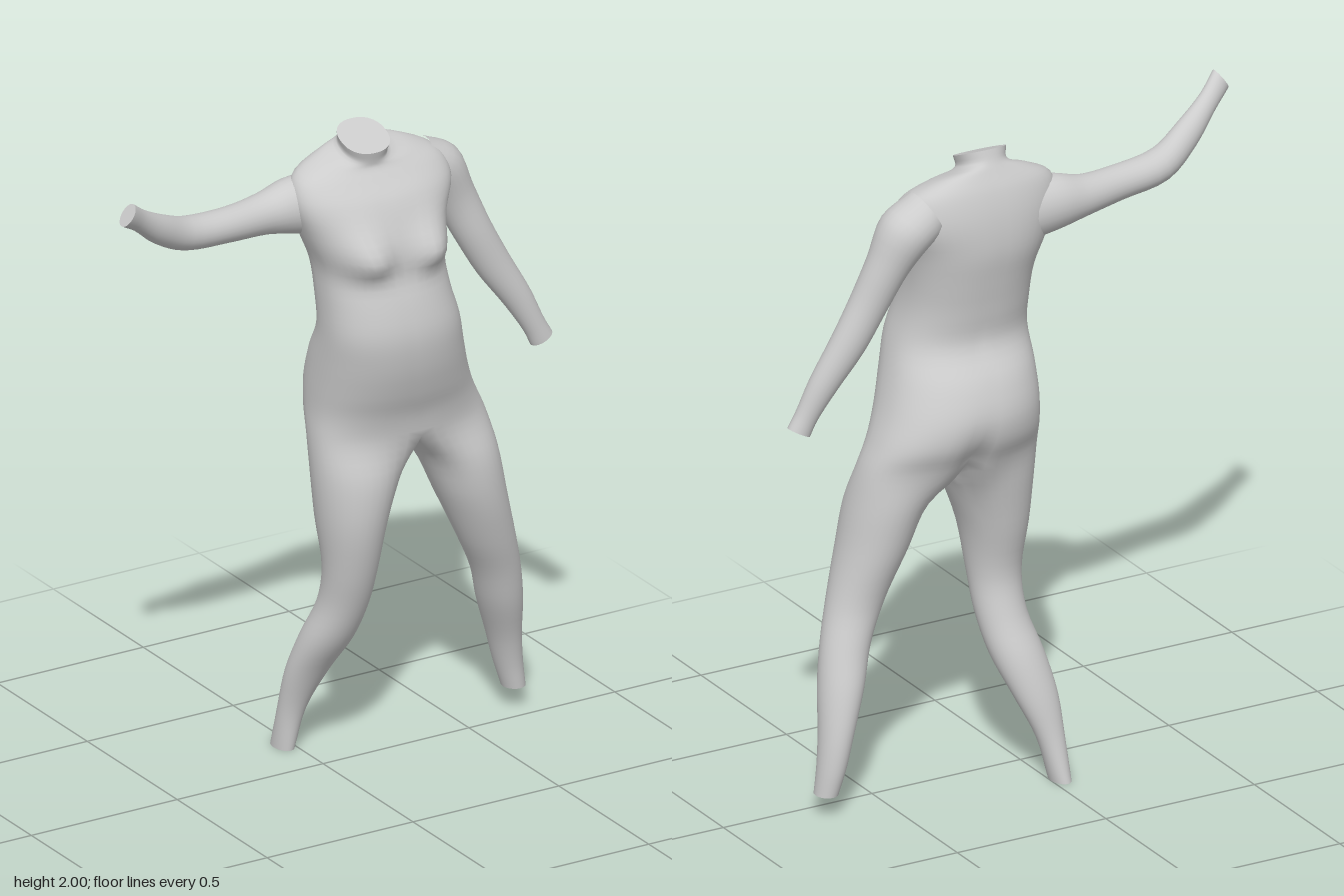
import * as THREE from 'three';
import { mergeVertices } from 'three/addons/utils/BufferGeometryUtils.js';

const SUB = 4;      // rows between key sections
const HALF = 24;    // columns around half of the torso / outside of a leg
const SEAM = 8;     // columns on the inside of a leg
const material = new THREE.MeshStandardMaterial({ color: 0xcccccc });
const capMaterial = new THREE.MeshStandardMaterial({ color: 0xcccccc, side: THREE.DoubleSide });

// Sections: [y, xMin, xMax, zBack, zFront, tilt]
const torso = [
  [1.968, 0.06, 0.215, -0.068, 0.07, -0.43],
  [1.935, 0.065, 0.212, -0.08, 0.062, -0.4],
  [1.912, 0.0, 0.31, -0.095, 0.062, -0.3],
  [1.87, -0.08, 0.4, -0.122, 0.085, -0.12],
  [1.8, -0.1, 0.425, -0.143, 0.13],
  [1.7, -0.07, 0.385, -0.148, 0.165],
  [1.6, -0.035, 0.37, -0.132, 0.178],
  [1.5, -0.03, 0.375, -0.115, 0.21],
  [1.4, -0.03, 0.4, -0.107, 0.228],
  [1.3, -0.03, 0.43, -0.165, 0.218],
  [1.2, -0.03, 0.465, -0.198, 0.19],
  [1.12, -0.03, 0.5, -0.192, 0.16],
  [1.04, -0.035, 0.535, -0.155, 0.145],
];
const rightLeg = [
  [0.92, -0.035, 0.24, -0.115, 0.15],
  [0.78, -0.025, 0.185, -0.09, 0.145],
  [0.62, -0.005, 0.158, -0.06, 0.11],
  [0.5, -0.005, 0.15, -0.085, 0.07],
  [0.38, -0.035, 0.13, -0.135, 0.02],
  [0.26, -0.053, 0.085, -0.17, -0.055],
  [0.13, -0.056, 0.03, -0.195, -0.11],
  [0, -0.06, 0, -0.225, -0.13],
];
const leftLeg = [
  [0.92, 0.315, 0.565, -0.115, 0.15],
  [0.78, 0.38, 0.59, -0.09, 0.145],
  [0.62, 0.455, 0.63, -0.06, 0.11],
  [0.5, 0.515, 0.665, -0.075, 0.075],
  [0.38, 0.555, 0.69, -0.105, 0.045],
  [0.25, 0.605, 0.707, -0.122, 0],
  [0.15, 0.635, 0.72, -0.122, -0.022],
  [0.07, 0.66, 0.73, -0.112, -0.03],
];
// Arm stations: [x, y, z, radius in the front plane, radius in z]
const rightArm = [
  [0.03, 1.77, -0.04, 0.1, 0.085],
  [-0.09, 1.778, -0.05, 0.084, 0.075],
  [-0.18, 1.774, -0.047, 0.063, 0.062],
  [-0.31, 1.778, -0.025, 0.053, 0.055],
  [-0.47, 1.795, -0.003, 0.051, 0.054],
  [-0.585, 1.85, 0.042, 0.045, 0.043],
  [-0.68, 1.915, 0.085, 0.034, 0.031],
  [-0.745, 1.96, 0.122, 0.037, 0.029],
];
const leftArm = [
  [0.34, 1.83, -0.04, 0.075, 0.08],
  [0.42, 1.785, -0.05, 0.082, 0.085],
  [0.472, 1.69, -0.042, 0.066, 0.066],
  [0.528, 1.57, -0.025, 0.059, 0.056],
  [0.59, 1.455, -0.015, 0.055, 0.05],
  [0.665, 1.335, 0, 0.045, 0.041],
  [0.715, 1.24, 0.012, 0.036, 0.032],
  [0.738, 1.195, 0.015, 0.038, 0.031],
];

// Point on a section; phi 0 = outward on that side, 90 = front
function sectionPoint([y, x0, x1, z0, z1, tilt = 0], side, degrees, power) {
  const phi = THREE.MathUtils.degToRad(degrees);
  const bulge = (v) => Math.sign(v) * Math.abs(v) ** power;
  const dz = ((z1 - z0) / 2) * bulge(Math.sin(phi));
  const x = (x0 + x1) / 2 + side * ((x1 - x0) / 2) * bulge(Math.cos(phi));
  return new THREE.Vector3(x, y + tilt * dz, (z0 + z1) / 2 + dz);
}

// Smooth column of points through key points
function column(keys) {
  return new THREE.CatmullRomCurve3(keys).getPoints((keys.length - 1) * SUB);
}

// Joins neighbouring columns with quads
function skin(columns, out, flip) {
  for (let i = 0; i + 1 < columns.length; i++) {
    for (let r = 0; r + 1 < columns[i].length; r++) {
      const a = columns[i][r], b = columns[i + 1][r];
      const c = columns[i][r + 1], d = columns[i + 1][r + 1];
      out.push(...(flip ? [a, c, b, b, c, d] : [a, b, c, b, d, c]));
    }
  }
}

// Breasts on the front, cleft between the buttocks
function sculpt(p) {
  const bell = (x, y, wx, wy) => Math.exp(-(((p.x - x) / wx) ** 2) - ((p.y - y) / wy) ** 2);
  if (p.z > 0.02) {
    const wy = p.y < 1.64 ? 0.05 : 0.085;
    p.z += 0.06 * (bell(0.05, 1.64, 0.075, wy) + bell(0.275, 1.64, 0.075, wy));
  } else if (p.z < -0.06) {
    p.z += 0.035 * bell(0.25, 1.05, 0.035, 0.09);
  }
}

function meshFrom(points, name, mat = material) {
  let geometry = new THREE.BufferGeometry().setFromPoints(points);
  geometry = mergeVertices(geometry, 1e-4);
  geometry.computeVertexNormals();
  const mesh = new THREE.Mesh(geometry, mat);
  mesh.name = name;
  return mesh;
}

// Flat end closing a ring
function cap(ring, name) {
  const center = new THREE.Vector3();
  ring.forEach((p) => center.addScaledVector(p, 1 / ring.length));
  const points = ring.flatMap((p, i) => [center, p, ring[(i + 1) % ring.length]]);
  return meshFrom(points, name, capMaterial);
}

// One side of the torso running into its leg
function bodySide(side, leg, out) {
  const step = 270 / HALF;
  const torsoKeys = (i) => torso.map((s) => sectionPoint(s, side, 90 - (180 / HALF) * i, 0.88));
  const legKeys = (i) => leg.map((s) => sectionPoint(s, side, 135 - step * i, 1));
  const outer = [];
  for (let i = 0; i <= HALF; i++) {
    const top = torsoKeys(i), low = legKeys(i);
    const middle = i === 0 || i === HALF;
    outer.push(middle
      ? [...column(top), ...column([top.at(-1), ...low]).slice(1)]
      : column([...top, ...low]));
  }
  // Inside of the leg, starting from the crotch seam
  const split = (torso.length - 1) * SUB;
  const front = outer[0][split].clone(), back = outer[HALF][split].clone();
  const inner = [outer[HALF].slice(split)];
  for (let k = 1; k < SEAM; k++) {
    const seam = back.clone().lerp(front, k / SEAM);
    const dip = Math.sin((Math.PI * k) / SEAM);
    seam.y -= 0.06 * dip;
    seam.x += 0.015 * dip;
    inner.push(column([seam, ...legKeys(HALF + k)]));
  }
  inner.push(outer[0].slice(split));
  new Set([...outer, ...inner].flat()).forEach(sculpt);
  skin(outer, out, side > 0);
  skin(inner, out, side > 0);
  const ankle = [...outer, ...inner.slice(1, -1)].map((c) => c.at(-1));
  return { neck: outer.map((c) => c[0]), ankle };
}

// Tapered arm with sections square to its path
function arm(stations, name) {
  const centers = stations.map(([x, y, z]) => new THREE.Vector3(x, y, z));
  const zAxis = new THREE.Vector3(0, 0, 1);
  const columns = [], count = 24;
  for (let i = 0; i <= count; i++) {
    const phi = (Math.PI * 2 * (i % count)) / count;
    columns.push(column(centers.map((c, k) => {
      const next = centers[Math.min(k + 1, centers.length - 1)];
      const tangent = next.clone().sub(centers[Math.max(k - 1, 0)]);
      const normal = zAxis.clone().cross(tangent).normalize();
      return c.clone().addScaledVector(normal, stations[k][3] * Math.cos(phi))
        .addScaledVector(zAxis, stations[k][4] * Math.sin(phi));
    })));
  }
  const points = [];
  skin(columns, points, false);
  const group = new THREE.Group();
  group.name = name;
  group.add(meshFrom(points, name + 'Skin'));
  group.add(cap(columns.slice(0, count).map((c) => c.at(-1)), name + 'Wrist'));
  return group;
}

export function createModel() {
  const model = new THREE.Group();
  model.name = 'headlessFigure';
  const points = [];
  const right = bodySide(-1, rightLeg, points);
  const left = bodySide(1, leftLeg, points);
  model.add(meshFrom(points, 'torsoAndLegs'));
  model.add(cap([...left.neck, ...right.neck.slice(1, -1).reverse()], 'neckEnd'));
  model.add(cap(right.ankle, 'rightAnkle'), cap(left.ankle, 'leftAnkle'));
  model.add(arm(rightArm, 'rightArm'), arm(leftArm, 'leftArm'));
  return model;
}
